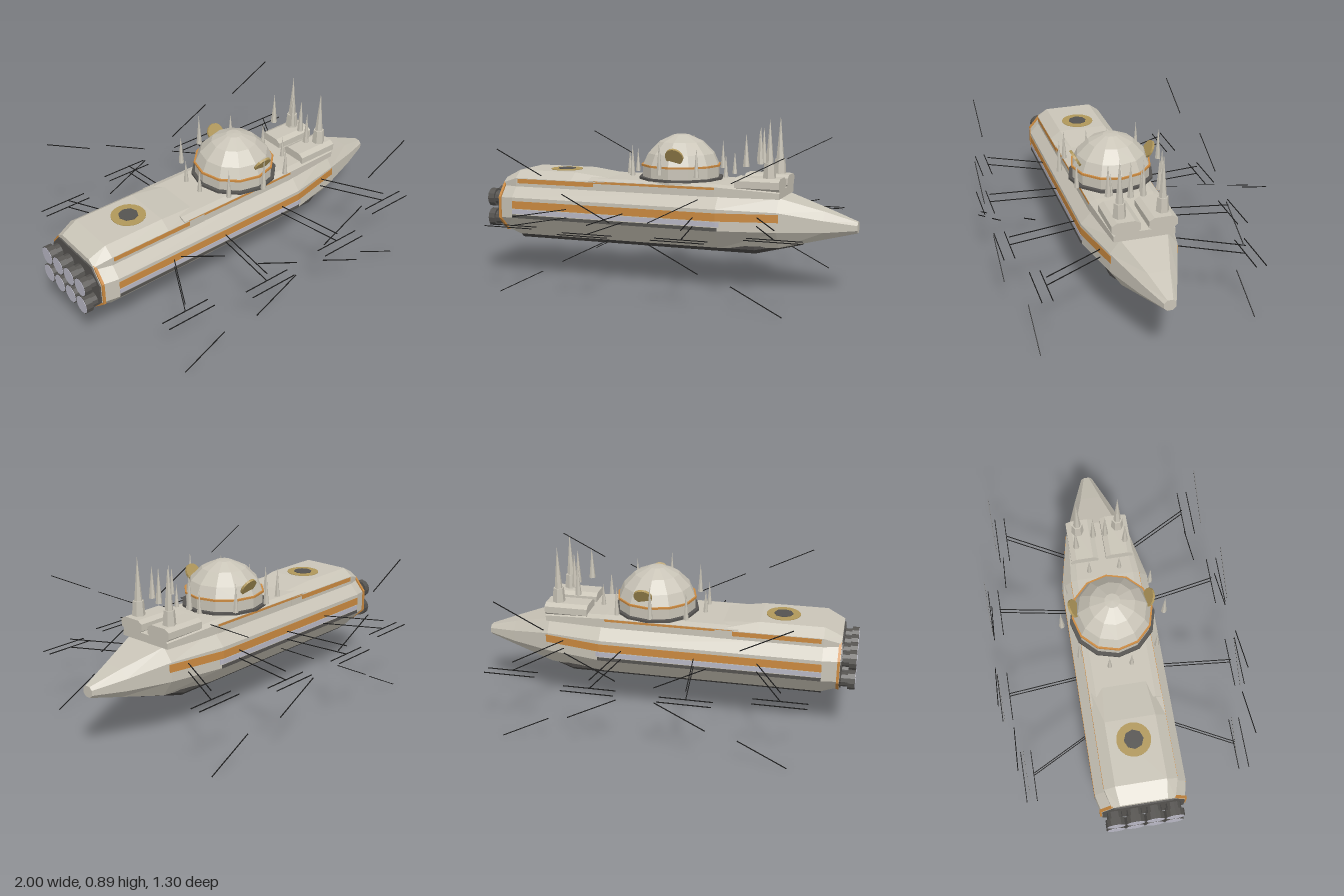
import * as THREE from 'three';

const paint = (name, color) => {
  const m = new THREE.MeshStandardMaterial({ color, flatShading: true });
  m.name = name;
  return m;
};

export function createModel() {
  const ship = new THREE.Group();
  ship.name = 'spaceship';
  const hullGrey = paint('hull grey', 0xc9c4b7);
  const orange = paint('trim orange', 0xcb8a40);
  const gold = paint('gold', 0xb0975a);
  const dark = paint('dark grey', 0x555350);
  const keelGrey = paint('keel grey', 0x484644);
  const steel = paint('steel', 0xb9b8c5);
  const black = paint('black', 0x1c1c1c);

  const add = (name, geo, mat, x = 0, y = 0, z = 0) => {
    const m = new THREE.Mesh(geo, mat);
    m.name = name;
    m.position.set(x, y, z);
    ship.add(m);
    return m;
  };
  const box = (name, mat, x0, x1, y0, y1, z0, z1) =>
    add(name, new THREE.BoxGeometry(x1 - x0, y1 - y0, z1 - z0), mat, (x0 + x1) / 2, (y0 + y1) / 2, (z0 + z1) / 2);

  // Loft along x; each station is [x, half profile of [z, y] from top to bottom]
  const loft = (stations) => {
    const rings = stations.map(([x, half]) => [
      ...half.map(([z, y]) => new THREE.Vector3(x, y, -z)),
      ...half.slice().reverse().map(([z, y]) => new THREE.Vector3(x, y, z)),
    ]);
    const pts = [];
    const n = rings[0].length;
    for (let i = 0; i < rings.length - 1; i++) {
      for (let j = 0; j < n; j++) {
        const k = (j + 1) % n;
        const [a, b, c, d] = [rings[i][j], rings[i + 1][j], rings[i + 1][k], rings[i][k]];
        pts.push(a, b, c, a, c, d);
      }
    }
    const first = rings[0], last = rings[rings.length - 1];
    for (let j = 1; j < n - 1; j++) {
      pts.push(first[0], first[j], first[j + 1], last[0], last[j + 1], last[j]);
    }
    const g = new THREE.BufferGeometry().setFromPoints(pts);
    g.computeVertexNormals();
    return g;
  };
  const oct = (x, w, wt, wb, yt, y1, y2, yb) => [x, [[wt, yt], [w, y1], [w, y2], [wb, yb]]];

  // Main hull and pointed nose
  add('hull', loft([
    oct(-0.92, 0.212, 0.15, 0.13, 0.5, 0.43, 0.32, 0.25),
    oct(-0.83, 0.233, 0.165, 0.14, 0.51, 0.435, 0.325, 0.222),
    oct(0.32, 0.233, 0.165, 0.14, 0.51, 0.435, 0.325, 0.222),
    oct(0.62, 0.171, 0.12, 0.11, 0.492, 0.425, 0.325, 0.237),
    oct(0.84, 0.092, 0.055, 0.055, 0.427, 0.385, 0.325, 0.285),
    oct(1, 0.03, 0.014, 0.014, 0.375, 0.36, 0.335, 0.32),
  ]), hullGrey);

  // Keel plate
  add('keel', loft([
    [-0.83, [[0.135, 0.24], [0.135, 0.222], [0.11, 0.2]]],
    [0.5, [[0.135, 0.24], [0.135, 0.222], [0.11, 0.2]]],
    [0.73, [[0.06, 0.27], [0.06, 0.262], [0.05, 0.25]]],
  ]), keelGrey);

  // Upper decks
  const deck = (x, w, wt, y1, yt) => [x, [[wt, yt], [w, y1], [w, 0.49]]];
  add('rearDeck', loft([
    deck(-0.92, 0.16, 0.12, 0.505, 0.53),
    deck(-0.83, 0.185, 0.13, 0.535, 0.575),
    deck(-0.5, 0.185, 0.13, 0.535, 0.575),
    deck(-0.28, 0.185, 0.11, 0.535, 0.548),
  ]), hullGrey);
  add('midDeck', loft([
    deck(-0.4, 0.183, 0.15, 0.54, 0.552),
    deck(0.3, 0.183, 0.15, 0.54, 0.552),
    deck(0.63, 0.155, 0.13, 0.52, 0.532),
  ]), hullGrey);

  // Rear deck hatch
  add('hatchRing', new THREE.CylinderGeometry(0.088, 0.088, 0.008, 20), gold, -0.61, 0.574, 0);
  add('hatch', new THREE.CylinderGeometry(0.05, 0.05, 0.008, 8), dark, -0.61, 0.577, 0);

  // Stern rim and engines
  add('sternRim', loft([-0.918, -0.905].map((x) => oct(x, 0.222, 0.158, 0.135, 0.51, 0.435, 0.315, 0.24))), orange);
  add('sternPlate', loft([-0.928, -0.917].map((x) => oct(x, 0.21, 0.15, 0.13, 0.5, 0.43, 0.32, 0.25))), dark);
  for (const y of [0.31, 0.42]) {
    for (const z of [-0.15, -0.05, 0.05, 0.15]) {
      const parts = [[0.038, 0.05, -0.94, dark], [0.05, 0.036, -0.98, dark], [0.046, 0.004, -0.998, steel]];
      for (const [r, len, x, mat] of parts) {
        add('engine', new THREE.CylinderGeometry(r, r, len, 12), mat, x, y, z).rotation.z = Math.PI / 2;
      }
    }
  }

  // Side plates that follow the plan of the hull
  const sidePlate = (name, mat, s, xEnd, y0, y1, out) => {
    const wEnd = 0.233 - (xEnd - 0.32) * 0.2067;
    const plan = [[-0.83, 0.23], [-0.83, 0.233 + out], [0.32, 0.233 + out], [xEnd, wEnd + out], [xEnd, wEnd - 0.004], [0.32, 0.228]];
    const shape = new THREE.Shape(plan.map(([x, z]) => new THREE.Vector2(x, s * z)));
    const g = new THREE.ExtrudeGeometry(shape, { depth: y1 - y0, bevelEnabled: false });
    g.rotateX(Math.PI / 2);
    add(name, g, mat, 0, y1, 0);
  };
  for (const s of [1, -1]) {
    sidePlate('sideStripe', orange, s, 0.63, 0.375, 0.416, 0.002);
    sidePlate('sideChannel', steel, s, 0.34, 0.346, 0.371, 0.0015);
    sidePlate('sideRail', dark, s, 0.33, 0.324, 0.342, 0.002);
    box('deckStripeRear', orange, -0.82, -0.37, 0.508, 0.532, s * 0.1845 - 0.002, s * 0.1845 + 0.002);
    box('deckStripeMid', orange, -0.37, 0.3, 0.526, 0.538, s * 0.183 - 0.002, s * 0.183 + 0.002);
  }

  // Domed turret
  const ringed = (r, y0, y1, name, mat) =>
    add(name, new THREE.CylinderGeometry(r, r, y1 - y0, 12), mat, 0.06, (y0 + y1) / 2, 0);
  ringed(0.19, 0.54, 0.558, 'domeFoot', hullGrey);
  ringed(0.225, 0.556, 0.568, 'domeSkirt', dark);
  ringed(0.205, 0.568, 0.627, 'domeWall', hullGrey);
  ringed(0.212, 0.624, 0.634, 'domeBand', orange);
  const domeProfile = [[0.203, 0.633], [0.178, 0.69], [0.118, 0.75], [0.04, 0.786], [0, 0.789]];
  add('dome', new THREE.LatheGeometry(domeProfile.map(([r, y]) => new THREE.Vector2(r, y)), 12), hullGrey, 0.06);

  // Tilted dishes on the dome
  for (const s of [1, -1]) {
    add('dish', new THREE.CylinderGeometry(0.048, 0.048, 0.012, 16), gold, 0.09, 0.687, s * 0.195)
      .rotation.x = s * (Math.PI / 2 + 0.53);
  }

  // Gun pads and tall spire sockets
  const padHalf = [[0.045, 0.59], [0.072, 0.575], [0.072, 0.54], [0.045, 0.52]];
  for (const s of [1, -1]) {
    add('pad', loft([[0.4, padHalf], [0.63, padHalf]]), hullGrey, 0, 0, s * 0.093);
    add('spireSocket', new THREE.CylinderGeometry(0.028, 0.034, 0.075, 6), hullGrey, 0.567, 0.627, s * 0.108);
  }

  // Spires: x, z, base y, tip y, radius
  const spires = [
    [0.567, 0.108, 0.66, 0.89, 0.021], [0.5, 0.032, 0.65, 0.84, 0.017], [0.452, 0.13, 0.645, 0.815, 0.017],
    [0.33, 0.08, 0.58, 0.7, 0.013], [0.22, 0.225, 0.59, 0.74, 0.014], [0.037, 0.268, 0.6, 0.775, 0.015],
    [-0.135, 0.2, 0.585, 0.745, 0.014], [-0.21, 0.057, 0.575, 0.7, 0.013],
  ];
  for (const [x, z, y0, y1, r] of spires) {
    for (const s of [1, -1]) {
      add('spire', new THREE.ConeGeometry(r, y1 - y0, 6), hullGrey, x, (y0 + y1) / 2, s * z);
    }
  }

  // Outrigger rods, cross bars and slanted vanes
  const rod = (name, a, b) => {
    const p = new THREE.Vector3(...a), q = new THREE.Vector3(...b);
    const m = add(name, new THREE.BoxGeometry(0.004, 0.004, p.distanceTo(q)), black);
    m.position.copy(p).add(q).multiplyScalar(0.5);
    m.lookAt(q);
  };
  // root x, root z, end x, bar z, vane z, vane inner x, vane outer x, inner height, outer height, rod y
  const outriggers = [
    [-0.5, 0.22, -0.66, 0.527, 0.58, -0.465, -0.71, 0.24, 0.363, 0.388],
    [-0.18, 0.22, -0.215, 0.598, 0.65, -0.07, -0.32, 0.04, 0.165, 0.384],
    [0.2, 0.22, 0.267, 0.588, 0.642, 0.12, 0.37, 0.05, 0.175, 0.388],
    [0.52, 0.18, 0.695, 0.5, 0.552, 0.5, 0.75, 0.243, 0.37, 0.4],
  ];
  for (const [rx, rz, ex, z1, z2, vx0, vx1, h0, h1, ry] of outriggers) {
    for (const s of [1, -1]) {
      for (const y of [ry, ry - 0.045]) rod('outriggerRod', [rx, y, s * rz], [ex, y, s * z1]);
      rod('crossBar', [ex - 0.133, ry - 0.045, s * z1], [ex + 0.133, ry - 0.045, s * z1]);
      rod('crossBar', [ex - 0.133, ry - 0.045, s * z2], [ex + 0.133, ry - 0.045, s * z2]);
      for (const v of [1, -1]) rod('vane', [vx0, 0.373 + v * h0, s * z2], [vx1, 0.373 + v * h1, s * z2]);
    }
  }
  return ship;
}
